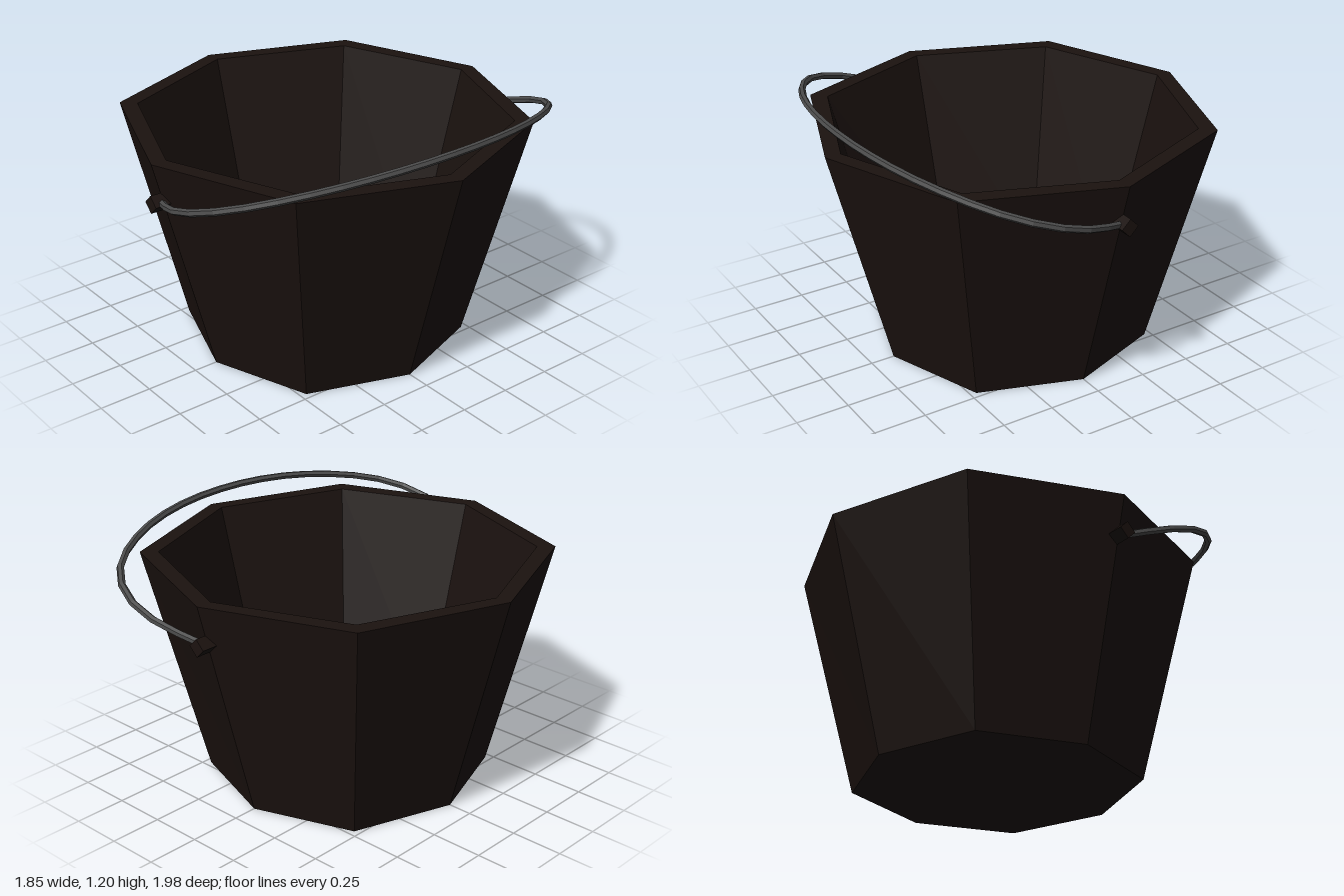
import * as THREE from 'three';

const wood = new THREE.MeshStandardMaterial({ color: 0x1b120f, flatShading: true });
const iron = new THREE.MeshStandardMaterial({ color: 0x4c4c4c, flatShading: true });

// Eight-sided tapered shell with a thick wall and a raised floor
function createPail() {
  // [radius on the axes, height, radius on the diagonals]
  const rings = [
    [0, 0, 0], [0.635, 0, 0.665], [0.925, 1.09, 0.948],
    [0.85, 1.09, 0.863], [0.58, 0.08, 0.58], [0, 0.08, 0],
  ];
  const geometry = new THREE.LatheGeometry(rings.map(([r, y]) => new THREE.Vector2(r, y)), 8);
  const pos = geometry.attributes.position;
  for (let i = 0; i < pos.count; i++) {
    const side = Math.floor(i / rings.length);
    const [r, y, diagonal] = rings[i % rings.length];
    const radius = side % 2 ? diagonal : r;
    const a = side * Math.PI / 4;
    pos.setXYZ(i, Math.sin(a) * radius, y, Math.cos(a) * radius);
  }
  geometry.computeVertexNormals();
  const pail = new THREE.Mesh(geometry, wood);
  pail.name = 'pail';
  return pail;
}

// Bail handle lying in a plane tilted towards +x
function createHandle() {
  const half = [
    [0, 0.885], [0.06, 0.91], [0.18, 0.957], [0.3, 0.977], [0.43, 0.955], [0.55, 0.885],
    [0.65, 0.77], [0.74, 0.605], [0.805, 0.42], [0.845, 0.21],
  ];
  const toPoint = ([x, z]) => new THREE.Vector3(x, 0.9 + x * 0.33, z);
  const points = [
    ...half.map(toPoint),
    toPoint([0.857, 0]),
    ...half.map(([x, z]) => toPoint([x, -z])).reverse(),
  ];
  // Straight links between the points keep the bends faceted
  const path = new THREE.CurvePath();
  for (let i = 1; i < points.length; i++) path.add(new THREE.LineCurve3(points[i - 1], points[i]));
  const smooth = new THREE.CatmullRomCurve3(points);
  const handle = new THREE.Mesh(new THREE.TubeGeometry(smooth, 24, 0.017, 6), iron);
  handle.name = 'handle';
  return handle;
}

// Diamond-shaped peg that holds one end of the handle
function createLug(sign) {
  const geometry = new THREE.CylinderGeometry(0.042, 0.042, 0.1, 4);
  geometry.rotateX(Math.PI / 2);
  const lug = new THREE.Mesh(geometry, wood);
  lug.name = sign > 0 ? 'frontLug' : 'backLug';
  lug.position.set(0, 0.905, sign * 0.888);
  return lug;
}

export function createModel() {
  const bucket = new THREE.Group();
  bucket.name = 'bucket';
  bucket.add(createPail(), createHandle(), createLug(1), createLug(-1));
  return bucket;
}
